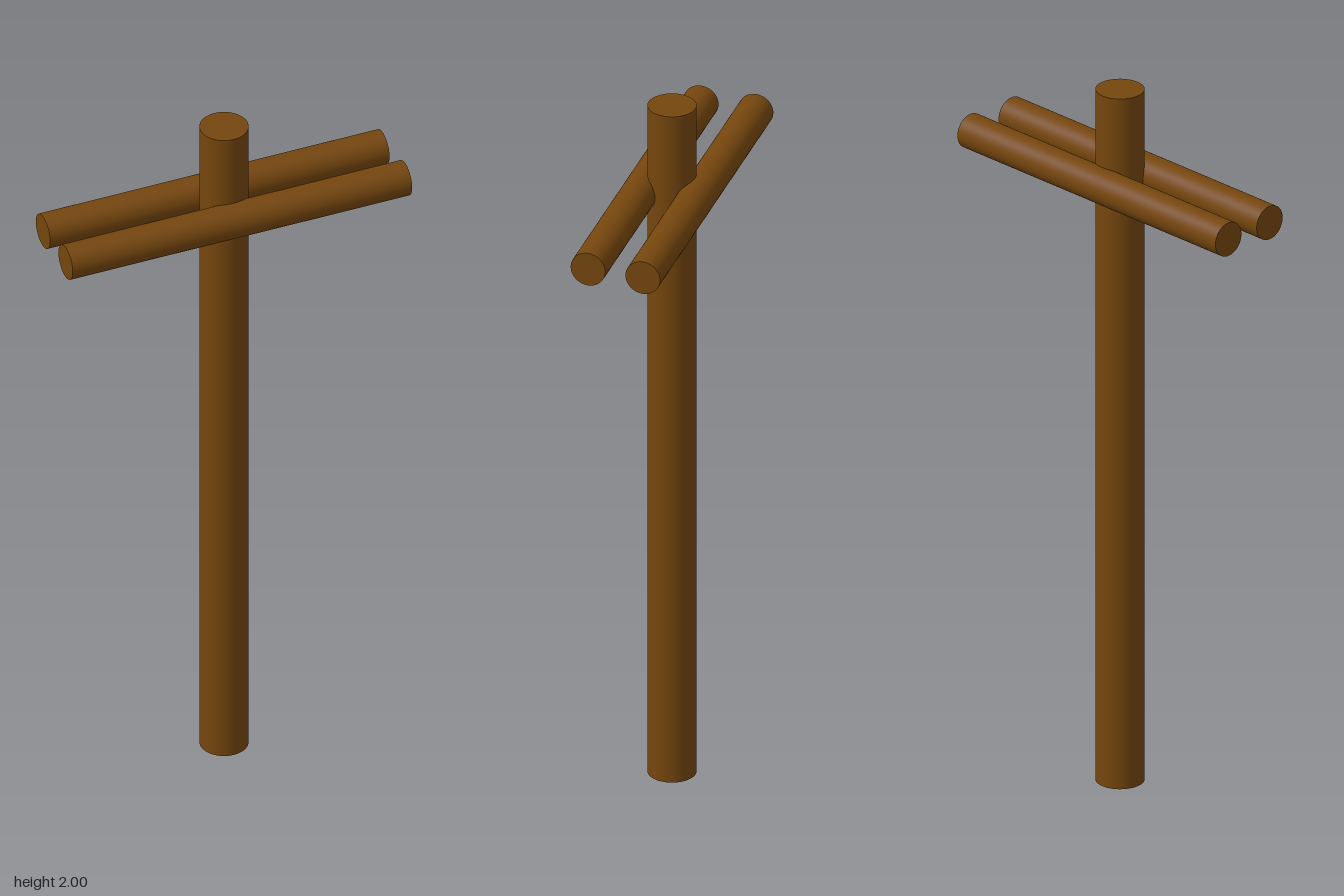
import * as THREE from 'three';

export function createModel() {
  const group = new THREE.Group();
  const wood = new THREE.MeshStandardMaterial({ color: 0x75460e });
  wood.name = 'brown wood';

  // Smooth round log with flat ends
  function log(name, radius, length) {
    const mesh = new THREE.Mesh(new THREE.CylinderGeometry(radius, radius, length, 48), wood);
    mesh.name = name;
    group.add(mesh);
    return mesh;
  }

  // Upright post
  log('post', 0.065, 2).position.y = 1;

  // Pair of crossbars clasping the post front and back
  for (const [name, side] of [['frontCrossbar', 1], ['backCrossbar', -1]]) {
    const bar = log(name, 0.048, 0.974);
    bar.rotation.z = Math.PI / 2;
    bar.position.set(0, 1.746, side * 0.076);
  }
  return group;
}
